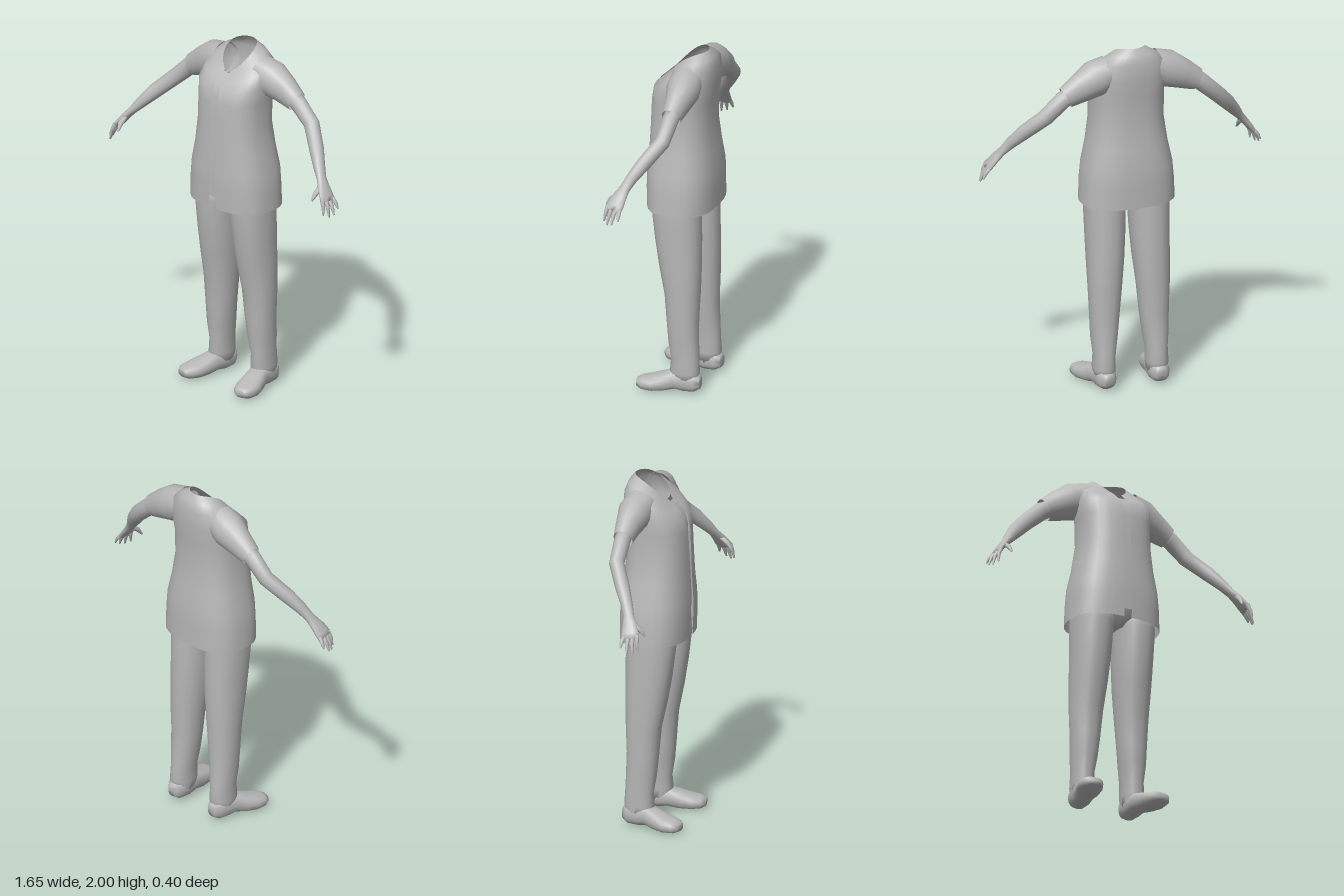
import * as THREE from 'three';
import { mergeVertices } from 'three/addons/utils/BufferGeometryUtils.js';

const { sin, cos, sign, abs, pow, PI } = Math;
const spow = (v, p) => sign(v) * pow(abs(v), p);

// Skin a list of equally long point rows; normals are smoothed over shared points
function skin(rows, closed = false, caps = false) {
  const n = rows[0].length, pos = rows.flat().flatMap(p => [p.x, p.y, p.z]), idx = [];
  for (let i = 0; i < rows.length - 1; i++) {
    for (let j = 0; j < (closed ? n : n - 1); j++) {
      const k = (j + 1) % n, a = i * n + j, b = i * n + k;
      idx.push(a, b, b + n, a, b + n, a + n);
    }
  }
  if (caps) {
    const last = (rows.length - 1) * n;
    for (let j = 1; j < n - 1; j++) {
      idx.push(0, j + 1, j, last, last + j, last + j + 1);
    }
  }
  let geo = new THREE.BufferGeometry();
  geo.setAttribute('position', new THREE.Float32BufferAttribute(pos, 3));
  geo.setIndex(idx);
  geo = mergeVertices(geo, 1e-5);
  geo.computeVertexNormals();
  return geo;
}

// Limb through sections [x, y, z, radius across, radius along ref]; s = -1 mirrors it
function limb(sections, ref, { s = 1, sides = 14, power = 1, caps = true } = {}) {
  const c = sections.map(q => new THREE.Vector3(q[0] * s, q[1], q[2]));
  const rows = c.map((p, i) => {
    const d = c[Math.min(i + 1, c.length - 1)].clone().sub(c[Math.max(i - 1, 0)]).normalize();
    const v = ref.clone().addScaledVector(d, -ref.dot(d)).normalize();
    const u = v.clone().cross(d);
    return Array.from({ length: sides }, (_, j) => {
      const a = j / sides * 2 * PI;
      return p.clone()
        .addScaledVector(u, sections[i][3] * spow(cos(a), power))
        .addScaledVector(v, sections[i][4] * spow(sin(a), power));
    });
  });
  return skin(rows, true, caps);
}

// Shirt body: open down the front, with a small slit at each side of the hem
function shirtBody() {
  // half width, front z, back z, front y, back y, squareness
  const rings = [
    [.265, .185, -.195, 1.08, 1.08, .78],
    [.26, .19, -.195, 1.2, 1.2, .78],
    [.25, .19, -.195, 1.3, 1.3, .78],
    [.225, .183, -.18, 1.42, 1.42, .8],
    [.205, .178, -.165, 1.56, 1.56, .8],
    [.205, .172, -.17, 1.7, 1.72, .8],
    [.215, .158, -.185, 1.78, 1.82, .8],
    [.2, .115, -.18, 1.82, 1.92, .85],
    [.15, .085, -.165, 1.85, 1.965, .95],
    [.09, .065, -.135, 1.865, 2, 1.05],
  ];
  const cols = [];
  const span = (from, to, n, side) => {
    for (let k = 0; k <= n; k++) {
      const atSlit = side > 0 ? (k === n && from === 0) || (k === 0 && from > 0) : k === 0 || k === n;
      cols.push({ a: from + (to - from) * k / n, slit: atSlit ? side * .012 : 0 });
    }
  };
  span(0, PI / 2, 8, 1);
  span(PI / 2, PI * 1.5, 16, -1);
  span(PI * 1.5, PI * 2, 8, 1);
  const gap = .022;
  return skin(rings.map(([hw, zf, zb, yf, yb, p], i) => cols.map(({ a, slit }, j) => {
    const mid = (zf + zb) / 2, half = (zf - zb) / 2;
    let x = hw * spow(sin(a), p);
    if (j < 9) x = Math.max(x, gap);
    if (j > 25) x = Math.min(x, -gap);
    const z = mid + half * spow(cos(a), p);
    const k = (z - zb) / (zf - zb);
    return new THREE.Vector3(x, yb - (yb - yf) * k * k, z + (i === 0 ? slit : 0));
  })));
}

export function createModel() {
  const group = new THREE.Group();
  const grey = new THREE.MeshStandardMaterial({ color: 0xb8b8b8, side: THREE.DoubleSide });
  grey.name = 'plain grey';
  const add = (name, geo) => {
    const mesh = new THREE.Mesh(geo, grey);
    mesh.name = name;
    group.add(mesh);
  };
  const X = new THREE.Vector3(1, 0, 0), Y = new THREE.Vector3(0, 1, 0), Z = new THREE.Vector3(0, 0, 1);

  add('shirtBody', shirtBody());

  // Recessed strip behind the front opening
  const strip = [[1.14, .165], [1.3, .17], [1.56, .156], [1.72, .148], [1.79, .128], [1.85, .062]];
  add('frontPlacket', skin(strip.map(([y, z]) => [-.05, .05].map(x => new THREE.Vector3(x, y, z)))));

  // Hips inside the shirt
  add('trouserTop', limb([
    [0, 1.07, 0, .1, .07], [0, 1.13, 0, .22, .14], [0, 1.25, 0, .225, .15], [0, 1.35, 0, .2, .14],
  ], Z, { sides: 20 }));

  for (const s of [1, -1]) {
    const side = s > 0 ? 'left' : 'right';

    add(side + 'Sleeve', limb([
      [.12, 1.87, -.06, .085, .09], [.21, 1.832, -.07, .105, .093],
      [.3, 1.79, -.075, .085, .07], [.385, 1.745, -.074, .063, .054],
    ], Z, { s, sides: 18, caps: false }));

    // Arm running into the palm
    add(side + 'Arm', limb([
      [.32, 1.775, -.078, .05, .045], [.4, 1.735, -.075, .05, .045],
      [.5, 1.645, -.07, .046, .042], [.6, 1.545, 0, .042, .04],
      [.66, 1.475, .045, .032, .033], [.7, 1.425, .07, .022, .03],
      [.73, 1.39, .085, .02, .04], [.765, 1.345, .1, .018, .05],
      [.782, 1.322, .106, .012, .047],
    ], Z, { s }));

    // Four fingers fanned across the palm, and a thumb to the front
    const tips = [[.815, 1.275, .062], [.82, 1.25, .1], [.81, 1.243, .13], [.79, 1.255, .155]];
    tips.forEach((t, k) => {
      const o = -.036 + k * .024;
      const base = [.772 - .15 * o, 1.338 + .2 * o, .104 + o];
      const mid = base.map((b, i) => (b + t[i]) / 2 + (i === 0 ? .006 : 0));
      add(side + 'Finger' + (k + 1), limb(
        [[...base, .012, .013], [...mid, .01, .011], [...t, .004, .005]], Z, { s, sides: 8 }));
    });
    add(side + 'Thumb', limb([
      [.725, 1.395, .1, .014, .018], [.722, 1.36, .145, .013, .015], [.717, 1.325, .17, .005, .006],
    ], X, { s, sides: 8 }));

    add(side + 'TrouserLeg', limb([
      [.155, .06, -.063, .055, .07], [.155, .12, -.06, .062, .085], [.153, .2, -.06, .06, .08],
      [.15, .3, -.05, .073, .086], [.145, .42, -.043, .081, .09], [.141, .58, -.04, .092, .1],
      [.134, .75, -.025, .102, .12], [.13, .9, -.012, .108, .132],
      [.128, 1.08, 0, .113, .142], [.124, 1.18, 0, .113, .14],
    ], Z, { s, sides: 18, power: .92 }));

    // Shoe with a slightly raised instep, toe turned out
    add(side + 'Shoe', limb([
      [.152, .065, -.15, .03, .035], [.155, .065, -.12, .053, .055], [.157, .068, -.06, .058, .062],
      [.165, .068, 0, .058, .054], [.182, .052, .06, .067, .05], [.2, .041, .12, .072, .041],
      [.212, .039, .17, .06, .034], [.217, .038, .197, .036, .022],
    ], Y, { s, sides: 16, power: .8 }));
  }
  return group;
}
